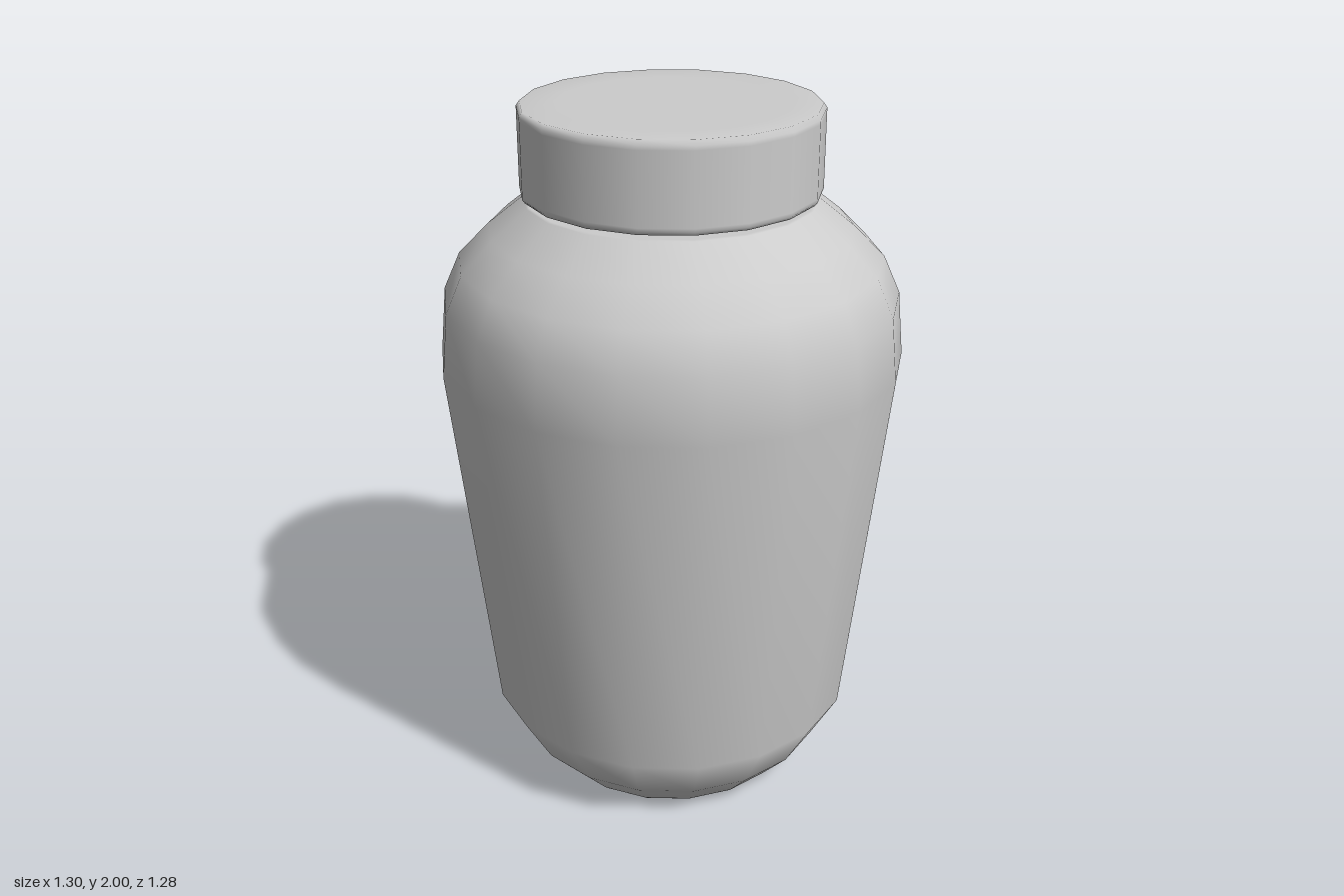
import * as THREE from 'three';

const SIDES = 18;

// Revolve a bottom-to-top profile of [radius, height] pairs, with a corner on the x axis
function turned(name, profile, material) {
  const points = profile.map(([r, y]) => new THREE.Vector2(r, y));
  const mesh = new THREE.Mesh(new THREE.LatheGeometry(points, SIDES, Math.PI / 2), material);
  mesh.name = name;
  return mesh;
}

export function createModel() {
  const group = new THREE.Group();
  group.name = 'jar';
  const grey = new THREE.MeshStandardMaterial({ color: 0xcccccc });

  // Tapered body: flat base, rounded foot, straight flare, rounded shoulder
  group.add(turned('body', [
    [0, 0], [0.365, 0], [0.373, 0.007],
    [0.458, 0.10], [0.537, 0.24],
    [0.65, 1.296], [0.632, 1.476], [0.585, 1.58], [0.5, 1.665],
    [0.4, 1.744], [0.393, 1.747], [0, 1.747],
  ], grey));

  // Lid with narrow bevels, just clear of the body
  group.add(turned('lid', [
    [0, 1.759], [0.39, 1.759], [0.404, 1.761], [0.411, 1.77], [0.411, 1.78],
    [0.411, 1.975], [0.411, 1.987], [0.402, 2], [0.31, 2], [0, 2],
  ], grey));

  return group;
}
